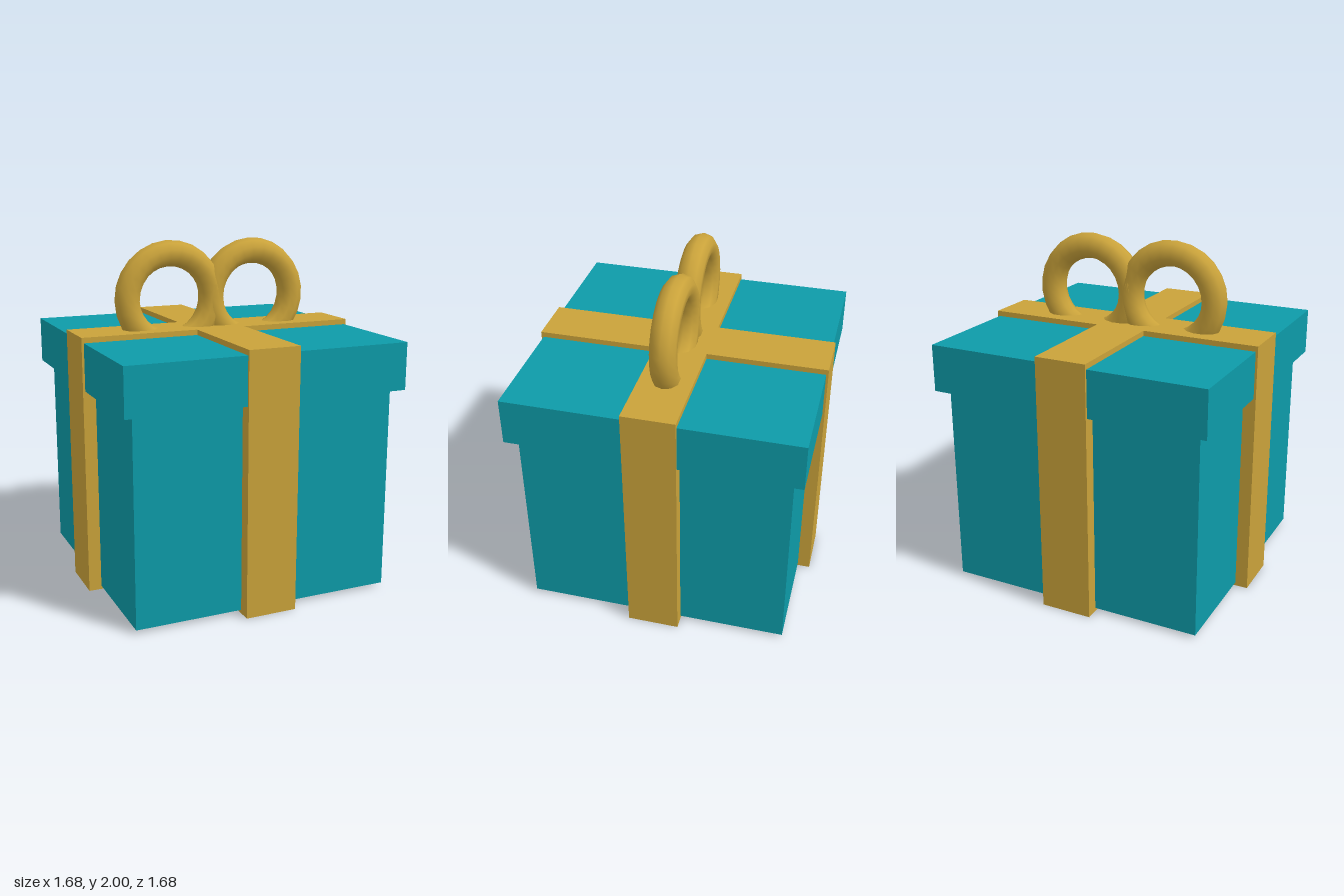
import * as THREE from 'three';

export function createModel() {
  const group = new THREE.Group();
  const teal = new THREE.MeshStandardMaterial({ color: 0x0d9ba8 });
  teal.name = 'teal paper';
  const gold = new THREE.MeshStandardMaterial({ color: 0xc9a23a });
  gold.name = 'gold ribbon';

  const add = (name, geometry, material, x, y, z) => {
    const mesh = new THREE.Mesh(geometry, material);
    mesh.name = name;
    mesh.position.set(x, y, z);
    group.add(mesh);
    return mesh;
  };

  // Square box and its overhanging lid
  const block = (name, width, y0, y1) =>
    add(name, new THREE.BoxGeometry(width, y1 - y0, width), teal, 0, (y0 + y1) / 2, 0);
  block('box', 1.53, 0.02, 1.2);
  block('lid', 1.65, 1.195, 1.466);

  // Crossed ribbon bands wrapping all around, as one plus-shaped prism
  const a = 0.15, b = 0.838;
  const cross = new THREE.Shape([
    [a, -b], [a, -a], [b, -a], [b, a], [a, a], [a, b],
    [-a, b], [-a, a], [-b, a], [-b, -a], [-a, -a], [-a, -b],
  ].map(([x, y]) => new THREE.Vector2(x, y)));
  const bands = new THREE.ExtrudeGeometry(cross, { depth: 1.497, bevelEnabled: false });
  bands.rotateX(-Math.PI / 2);
  add('ribbon', bands, gold, 0, 0, 0);

  // Two round bow loops sunk into the top of the ribbon
  for (const [name, side] of [['leftBowLoop', 1], ['rightBowLoop', -1]]) {
    const loop = add(name, new THREE.TorusGeometry(0.26, 0.075, 10, 25), gold, side * 0.26, 1.665, 0);
    loop.rotation.z = Math.PI;
  }

  return group;
}
